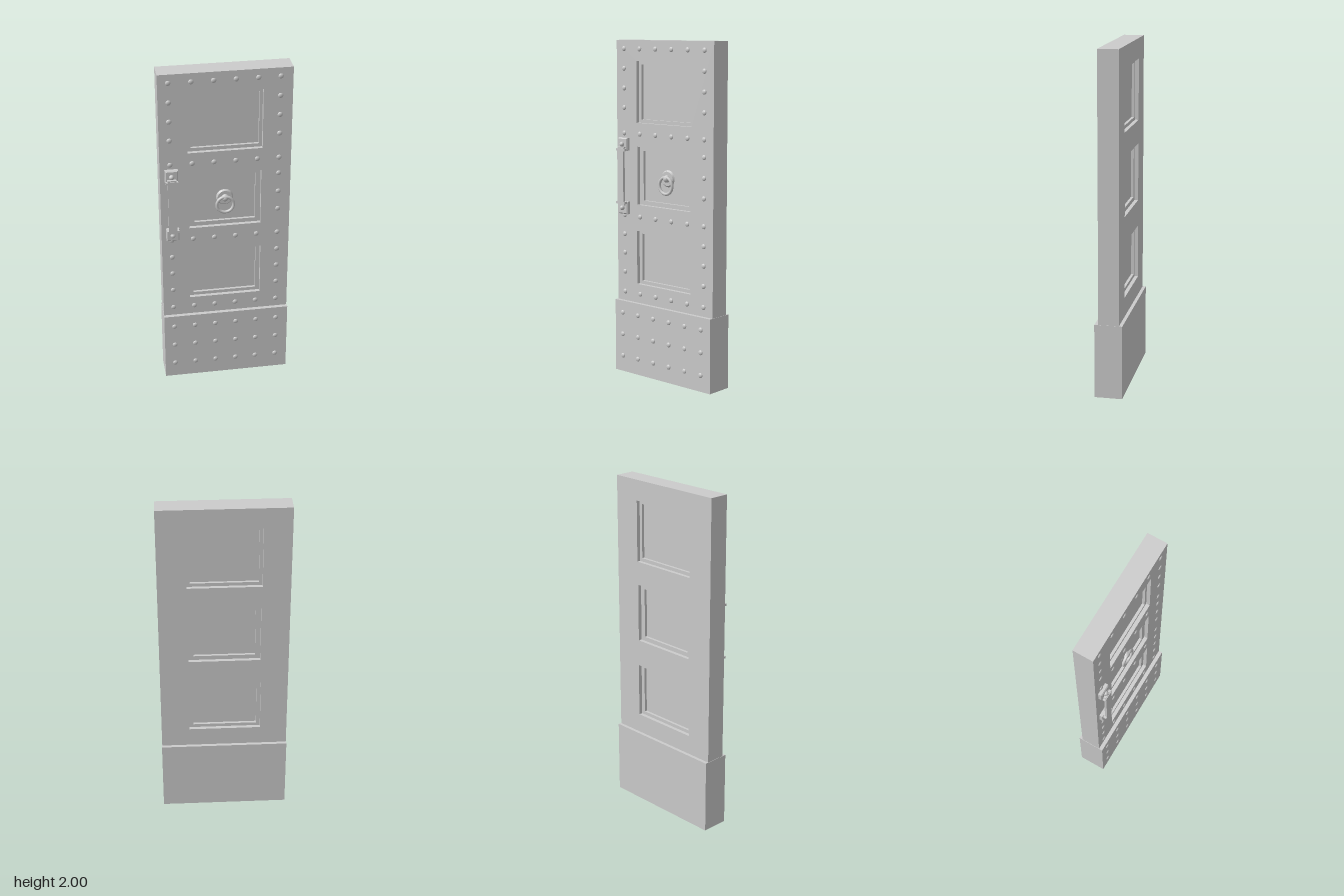
import * as THREE from 'three';

const material = new THREE.MeshStandardMaterial({ color: 0xcccccc });

function add(parent, name, geometry, x = 0, y = 0, z = 0) {
  const mesh = new THREE.Mesh(geometry, material);
  mesh.name = name;
  mesh.position.set(x, y, z);
  parent.add(mesh);
  return mesh;
}

function trace(path, [x0, x1, y0, y1]) {
  path.moveTo(x0, y0);
  path.lineTo(x1, y0);
  path.lineTo(x1, y1);
  path.lineTo(x0, y1);
  path.closePath();
  return path;
}

// Rectangular plate with rectangular openings, spanning z0..z1
function plate(outer, holes, z0, z1) {
  const shape = trace(new THREE.Shape(), outer);
  holes.forEach(h => shape.holes.push(trace(new THREE.Path(), h)));
  return new THREE.ExtrudeGeometry(shape, { depth: z1 - z0, bevelEnabled: false }).translate(0, 0, z0);
}

// Square block whose front edge is chamfered
function chamferBlock(w, depth, chamfer) {
  const shape = trace(new THREE.Shape(), [-w / 2 + chamfer, w / 2 - chamfer, -w / 2 + chamfer, w / 2 - chamfer]);
  return new THREE.ExtrudeGeometry(shape, {
    depth: depth - chamfer, bevelEnabled: true, bevelSegments: 1, bevelSize: chamfer, bevelThickness: chamfer
  });
}

export function createModel() {
  const door = new THREE.Group();
  door.name = 'door';
  const back = -0.072, front = 0.047, kickFront = 0.07;

  // Slab with three openings, each holding a stepped moulding and a thin panel
  const openings = [
    { name: 'top', outer: [-0.215, 0.21, 1.52, 1.88], inner: [-0.195, 0.192, 1.54, 1.86] },
    { name: 'middle', outer: [-0.21, 0.205, 1.035, 1.38], inner: [-0.18, 0.175, 1.06, 1.355] },
    { name: 'bottom', outer: [-0.215, 0.207, 0.555, 0.877], inner: [-0.192, 0.182, 0.575, 0.86] }
  ];
  add(door, 'slab', plate([-0.374, 0.374, 0.4, 2], openings.map(o => o.outer), back, front));
  for (const o of openings) {
    add(door, o.name + 'Moulding', plate(o.outer, [o.inner], back + 0.022, front - 0.022));
    add(door, o.name + 'Panel', plate(o.inner, [], back + 0.038, front - 0.038));
  }

  // Thicker kick block at the foot
  add(door, 'kickBlock', new THREE.BoxGeometry(0.752, 0.44, 0.162), 0, 0.22, -0.011);

  // Domed rivets along the rails, stiles and kick block
  const rivets = new THREE.Group();
  rivets.name = 'rivets';
  door.add(rivets);
  const dome = new THREE.SphereGeometry(0.015, 14, 5, 0, Math.PI * 2, 0, Math.PI / 2)
    .rotateX(Math.PI / 2).scale(1, 1, 0.55);
  const columns = [-0.315, -0.19, -0.066, 0.058, 0.181, 0.305];
  const rivet = (x, y, z) => add(rivets, 'rivet', dome, x, y, z);
  for (const x of columns) {
    for (const y of [1.95, 1.455, 0.963, 0.495]) rivet(x, y, front);
    for (const y of [0.367, 0.233, 0.098]) rivet(x, y, kickFront);
  }
  for (const y of [1.835, 1.72, 1.605, 0.848, 0.735, 0.618]) {
    rivet(columns[0], y, front);
    rivet(columns[5], y, front);
  }
  for (const y of [1.355, 1.237, 1.122]) rivet(columns[5], y, front);

  // Pull handle: two chamfered mounts with studs, joined by a flat bar
  const handle = new THREE.Group();
  handle.name = 'pullHandle';
  handle.position.set(-0.31, 1.2, front);
  door.add(handle);
  for (const s of [-1, 1]) {
    add(handle, 'handleMount', chamferBlock(0.075, 0.024, 0.006), 0, s * 0.19, 0);
    add(handle, 'mountStud', new THREE.SphereGeometry(0.015, 16, 10), 0, s * 0.19, 0.026);
    add(handle, 'barArm', new THREE.BoxGeometry(0.05, 0.024, 0.024), 0, s * 0.162, 0.027);
    add(handle, 'barCollar', new THREE.BoxGeometry(0.07, 0.014, 0.018), 0, s * 0.158, 0.034);
  }
  add(handle, 'handleBar', new THREE.BoxGeometry(0.048, 0.31, 0.014), 0, 0, 0.036);

  // Ring knocker on the middle panel
  const knocker = new THREE.Group();
  knocker.name = 'knocker';
  knocker.position.set(0, 1.205, front - 0.038);
  door.add(knocker);
  add(knocker, 'knockerRose', new THREE.CylinderGeometry(0.042, 0.05, 0.01, 32).rotateX(Math.PI / 2), 0, 0, 0.005);
  add(knocker, 'knockerBoss', new THREE.SphereGeometry(0.022, 20, 12), 0, 0, 0.012);
  add(knocker, 'knockerRing', new THREE.TorusGeometry(0.049, 0.009, 10, 40), 0, -0.04, 0.022);

  return door;
}
